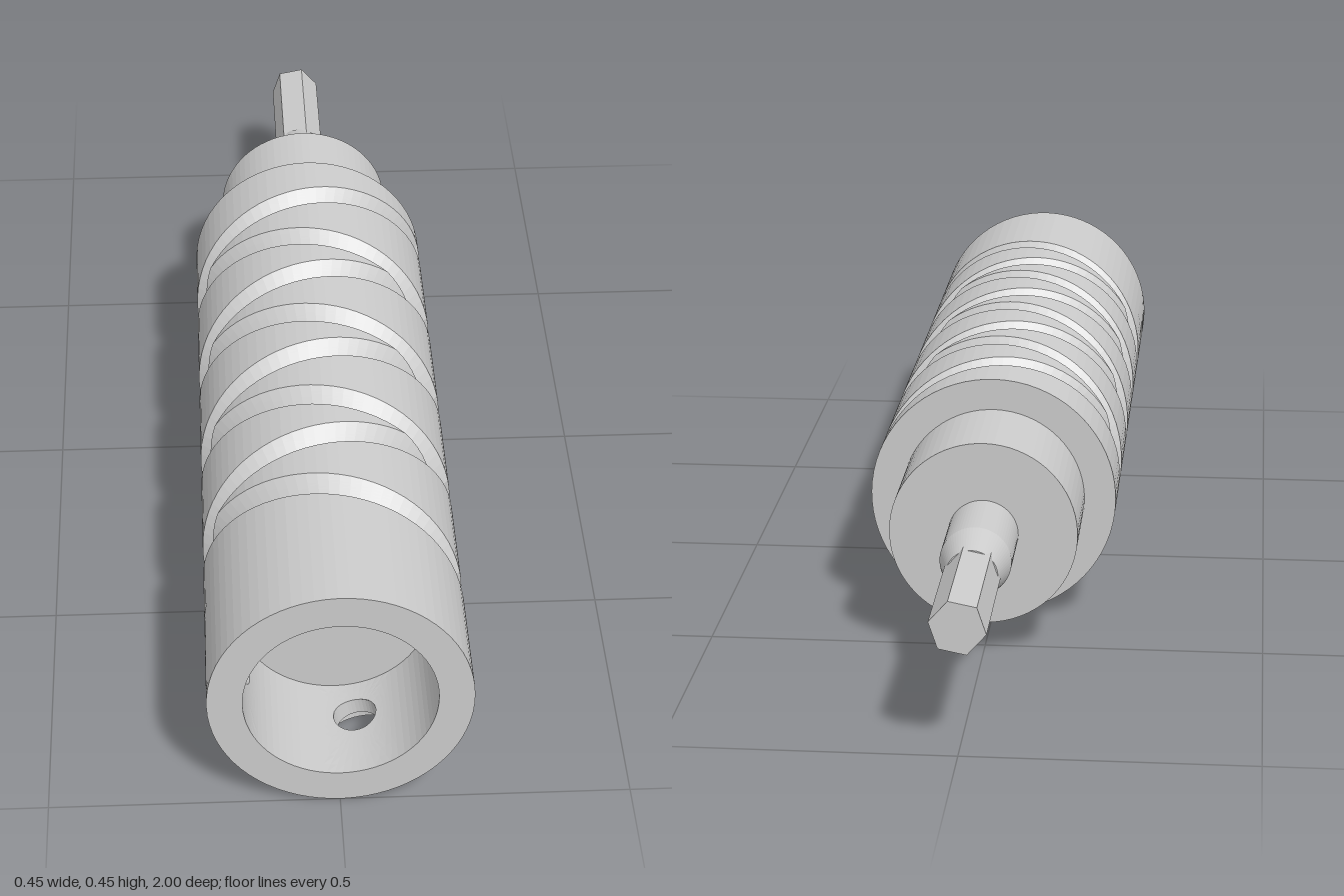
import * as THREE from 'three';

const SIDES = 72, STEP = (2 * Math.PI) / SIDES;
const R = 0.2255, BORE = 0.165;               // sleeve radius, socket radius
const PITCH = 0.255, ROW = PITCH / SIDES;     // one grid row per angular step
const GROOVE_START = 0.755, GROOVE_ROWS = 4 * SIDES, MARGIN = 9;
const Z_TOP = GROOVE_START + MARGIN * ROW;    // front end of the grooved section
const Z_LOW = GROOVE_START - (GROOVE_ROWS + MARGIN) * ROW;
const FLOOR = 0.78;                           // bottom of the socket
const HOLE_Z = 0.86, HOLE_ANGLES = [Math.PI, 1.5 * Math.PI];
const HALF = 5 * STEP;                        // half angle of the patch around a hole

const material = new THREE.MeshStandardMaterial({ color: 0xcccccc, flatShading: true });

const polar = (r, a, z) => [r * Math.cos(a), r * Math.sin(a), z];

// Quad grid from f(i, j); the front faces along d/di x d/dj.
// Each quad is split along its more level diagonal so creases stay clean.
function surface(nu, nv, f) {
  const pos = [];
  const radius = (p) => Math.hypot(p[0], p[1]);
  for (let i = 0; i < nu; i++) {
    for (let j = 0; j < nv; j++) {
      const a = f(i, j), b = f(i + 1, j), c = f(i + 1, j + 1), d = f(i, j + 1);
      const [ra, rb, rc, rd] = [a, b, c, d].map(radius);
      const diff = Math.abs(ra - rc) - Math.abs(rb - rd);
      const useAC = Math.abs(diff) > 1e-6 ? diff < 0 : ra + rc <= rb + rd;
      const tris = useAC ? [a, b, c, a, c, d] : [a, b, d, b, c, d];
      tris.forEach((p) => pos.push(...p));
    }
  }
  const g = new THREE.BufferGeometry();
  g.setAttribute('position', new THREE.Float32BufferAttribute(pos, 3));
  g.computeVertexNormals();
  return g;
}

// Profile of [radius, z] pairs turned about the z axis
function revolve(profile) {
  return new THREE.LatheGeometry(profile.map(([r, z]) => new THREE.Vector2(r, z)), SIDES)
    .rotateX(Math.PI / 2);
}

// Radius of the sleeve where two V grooves of opposite hand wind and cross
function grooveRadius(col, s) {
  const k = Math.min(col % SIDES, SIDES - (col % SIDES));
  let d = Infinity;
  for (let m = 0; m <= 4; m++) {
    for (const c of [m * SIDES + k, m * SIDES - k]) {
      if (c >= 0 && c <= GROOVE_ROWS) d = Math.min(d, Math.abs(s - c));
    }
  }
  return R - 0.034 * Math.max(0, 1 - d / 8);
}

// Rectangle outline (angle offset, z) around a hole, counter-clockwise
function outline(z0, z1) {
  const pts = [], nz = 8;
  for (let i = 0; i < 10; i++) pts.push([-HALF + i * STEP, z0]);
  for (let i = 0; i < nz; i++) pts.push([HALF, z0 + ((z1 - z0) * i) / nz]);
  for (let i = 0; i < 10; i++) pts.push([HALF - i * STEP, z1]);
  for (let i = 0; i < nz; i++) pts.push([-HALF, z1 - ((z1 - z0) * i) / nz]);
  return pts;
}

// Curved wall patch of radius r with a round hole; inward flips the front
function holedPatch(r, hole, a0, z0, inward) {
  const rim = outline(z0, 1), rows = 5;
  const at = (j, i) => {
    const [da, z] = rim[i % rim.length];
    const t = Math.atan2(z - HOLE_Z, r * da), k = j / rows;
    const ha = Math.asin((hole * Math.cos(t)) / r), hz = HOLE_Z + hole * Math.sin(t);
    return polar(r, a0 + ha + (da - ha) * k, hz + (z - hz) * k);
  };
  return inward ? surface(rim.length, rows, (i, j) => at(j, i)) : surface(rows, rim.length, at);
}

// Plain curved wall between two angles given in steps
function wall(r, from, to, z0, inward) {
  const at = (i, j) => polar(r, (from + i) * STEP, j ? 1 : z0);
  return inward ? surface(1, to - from, (j, i) => at(i, j)) : surface(to - from, 1, at);
}

// Counterbored screw hole through the collar wall
function screwHole(a0, outer, inner) {
  const n = 36, shoulder = 0.195;
  const stations = [[outer, R], [outer, 0], [inner, 0], [inner, BORE]];
  return surface(n, 3, (i, j) => {
    const t = (i / n) * 2 * Math.PI, [h, cyl] = stations[j];
    const u = h * Math.cos(t), d = cyl ? Math.sqrt(cyl * cyl - u * u) : shoulder;
    return [d * Math.cos(a0) - u * Math.sin(a0), d * Math.sin(a0) + u * Math.cos(a0),
      HOLE_Z + h * Math.sin(t)];
  });
}

export function createModel() {
  const model = new THREE.Group();
  model.name = 'grooved driver';
  const add = (name, geometry) => {
    const mesh = new THREE.Mesh(geometry, material);
    mesh.name = name;
    model.add(mesh);
  };

  // Sleeve with crossing grooves
  add('groovedSleeve', surface(SIDES, GROOVE_ROWS + 2 * MARGIN, (i, j) =>
    polar(grooveRadius(i, GROOVE_ROWS + MARGIN - j), i * STEP, Z_LOW + j * ROW)));

  // Front collar and socket, each with two screw holes
  for (const a of HOLE_ANGLES) {
    add('collarHolePatch', holedPatch(R, 0.06, a, Z_TOP, false));
    add('socketHolePatch', holedPatch(BORE, 0.038, a, FLOOR, true));
    add('screwHole', screwHole(a, 0.06, 0.038));
  }
  for (const [from, to] of [[-13, 31], [41, 49]]) {
    add('collarWall', wall(R, from, to, Z_TOP, false));
    add('socketWall', wall(BORE, from, to, FLOOR, true));
  }
  add('frontRim', revolve([[R, 1], [BORE, 1]]));
  add('socketFloor', revolve([[BORE, FLOOR], [0, FLOOR]]));

  // Rear shoulder and neck
  add('neck', revolve([[0, -0.535], [0.168, -0.535], [0.168, -0.33], [R, -0.33], [R, Z_LOW]]));

  // Round shaft tapering into a hexagonal bit
  add('shaft', revolve([[0, -0.75], [0.045, -0.75], [0.0625, -0.68], [0.0625, -0.53]]));
  const hex = new THREE.CylinderGeometry(0.049, 0.049, 0.3, 6, 1, false, Math.PI / 2);
  add('hexBit', hex.rotateX(Math.PI / 2).translate(0, 0, -0.85));

  model.rotation.z = 0.2;
  model.position.y = R;
  const group = new THREE.Group();
  group.add(model);
  return group;
}
